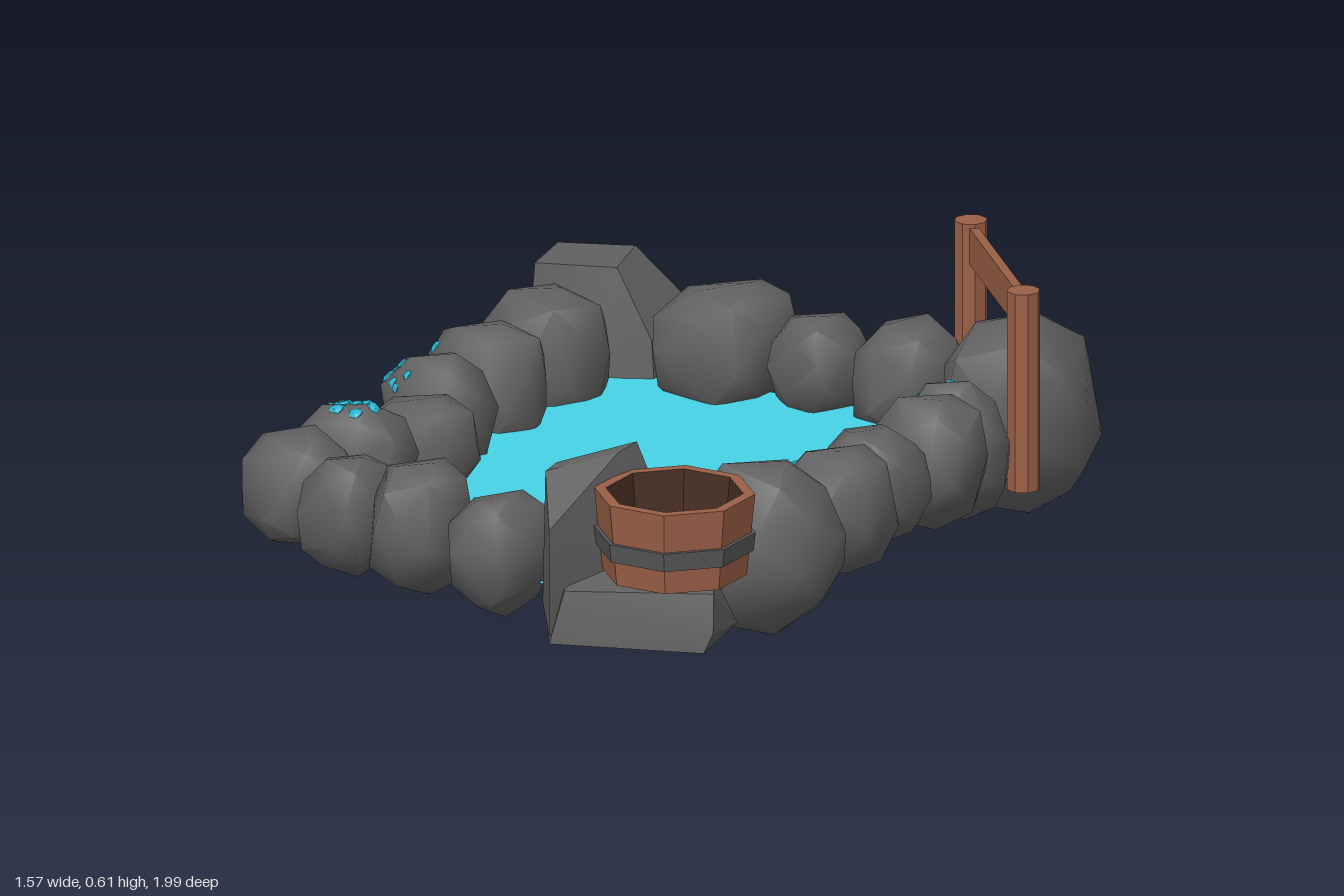
import * as THREE from 'three';
import { toCreasedNormals } from 'three/addons/utils/BufferGeometryUtils.js';
import { ConvexGeometry } from 'three/addons/geometries/ConvexGeometry.js';

const paint = (name, color, opts = {}) => {
  const m = new THREE.MeshStandardMaterial({ color, ...opts });
  m.name = name;
  return m;
};

// Small seeded generator
let seed = 11;
const rand = () => {
  seed = (seed * 16807) % 2147483647;
  return seed / 2147483647;
};
const jitter = (a) => (rand() - 0.5) * 2 * a;

// Rounded boulder filling the given bounds
function boulderGeometry([x0, x1], [y0, y1], [z0, z1]) {
  const pts = [], n = 30;
  const puff = (v) => Math.sign(v) * Math.pow(Math.abs(v), 0.85);
  for (let i = 0; i < n; i++) {
    const y = 1 - (2 * (i + 0.5)) / n, r = Math.sqrt(1 - y * y), t = i * 2.39996 + jitter(0.25);
    const k = 1 + jitter(0.07);
    pts.push(new THREE.Vector3(puff(r * Math.cos(t)) * k, puff(y) * k, puff(r * Math.sin(t)) * k));
  }
  const box = new THREE.Box3().setFromPoints(pts);
  const size = box.getSize(new THREE.Vector3());
  for (const p of pts) {
    p.sub(box.min).divide(size);
    p.set(x0 + p.x * (x1 - x0), y0 + p.y * (y1 - y0), z0 + p.z * (z1 - z0));
  }
  return toCreasedNormals(new ConvexGeometry(pts), 0.95);
}

const slabGeometry = (points) =>
  toCreasedNormals(new ConvexGeometry(points.map((p) => new THREE.Vector3(...p))), 0.45);

export function createModel() {
  const model = new THREE.Group();
  model.name = 'rockPool';
  const stone = paint('stone', 0x616161);
  const water = paint('water', 0x45d3e6, { side: THREE.DoubleSide });
  const droplet = paint('droplet', 0x2ab4d0);
  const wood = paint('wood', 0x9a5f46, { flatShading: true });
  const darkWood = paint('darkWood', 0x452d22, { flatShading: true });
  const iron = paint('iron', 0x565656, { flatShading: true });

  const add = (name, geo, mat, parent = model) => {
    const mesh = new THREE.Mesh(geo, mat);
    mesh.name = name;
    parent.add(mesh);
    return mesh;
  };

  // Ring of boulders: x, y and z bounds
  const boulders = {
    backBoulder1: [[-0.36, -0.05], [0.12, 0.43], [-0.91, -0.58]],
    backBoulder2: [[-0.06, 0.16], [0.13, 0.39], [-0.88, -0.64]],
    backBoulder3: [[0.14, 0.41], [0.12, 0.4], [-0.91, -0.64]],
    cornerBoulder: [[0.38, 0.77], [0, 0.49], [-0.96, -0.57]],
    leftBoulder1: [[0.45, 0.71], [0.06, 0.4], [-0.58, -0.37]],
    leftBoulder2: [[0.49, 0.76], [0.1, 0.42], [-0.4, -0.15]],
    leftBoulder3: [[0.46, 0.73], [0.12, 0.4], [-0.18, 0.05]],
    leftBoulder4: [[0.5, 0.76], [0.12, 0.42], [0.03, 0.31]],
    leftBoulder5: [[0.41, 0.78], [0.05, 0.47], [0.29, 0.61]],
    frontBoulder1: [[-0.03, 0.2], [0.1, 0.39], [0.65, 0.91]],
    frontBoulder2: [[-0.25, -0.02], [0.12, 0.44], [0.65, 0.93]],
    frontBoulder3: [[-0.44, -0.22], [0.13, 0.42], [0.65, 0.91]],
    frontBoulder4: [[-0.65, -0.38], [0.15, 0.42], [0.56, 0.84]],
    rightBoulder1: [[-0.65, -0.36], [0.15, 0.43], [0.34, 0.58]],
    rightBoulder2: [[-0.61, -0.33], [0.12, 0.38], [0.09, 0.34]],
    rightBoulder3: [[-0.68, -0.42], [0.1, 0.41], [-0.13, 0.12]],
    rightBoulder4: [[-0.73, -0.42], [0.09, 0.41], [-0.37, -0.13]],
    rightBoulder5: [[-0.71, -0.4], [0.06, 0.43], [-0.65, -0.36]],
  };
  const rocks = {};
  for (const [name, bounds] of Object.entries(boulders))
    rocks[name] = add(name, boulderGeometry(...bounds), stone);

  // Angular corner slabs
  add('backSlab', slabGeometry([
    [-0.79, 0.1, -0.89], [-0.39, 0.16, -0.96], [-0.36, 0.12, -0.69], [-0.5, 0.09, -0.62],
    [-0.69, 0.1, -0.65], [-0.7, 0.42, -0.82], [-0.53, 0.42, -0.89], [-0.47, 0.43, -0.7],
    [-0.67, 0.42, -0.66], [-0.4, 0.28, -0.94], [-0.37, 0.27, -0.69], [-0.77, 0.22, -0.88],
  ]), stone);
  add('frontSlabBase', slabGeometry([
    [0.125, 0.19, 0.62], [0.2, 0.13, 0.78], [0.33, 0.12, 0.99], [0.68, 0.12, 0.87], [0.46, 0.13, 0.55],
    [0.66, 0.14, 0.68], [0.36, 0.25, 0.97], [0.69, 0.26, 0.84], [0.46, 0.27, 0.57], [0.6, 0.27, 0.7],
    [0.3, 0.27, 0.7], [0.7, 0.17, 0.86],
  ]), stone);
  add('frontSlabWall', slabGeometry([
    [0.125, 0.2, 0.62], [0.19, 0.14, 0.78], [0.33, 0.14, 0.99], [0.33, 0.4, 0.99], [0.19, 0.35, 0.77],
    [0.25, 0.5, 0.87], [0.24, 0.5, 0.8], [0.37, 0.53, 0.65], [0.36, 0.52, 0.72], [0.45, 0.22, 0.56], [0.35, 0.2, 0.95],
  ]), stone);

  // Water sheet tucked under the rocks
  const pool = new THREE.Shape([
    [-0.5, 0.68], [0.16, 0.76], [0.3, 0.7], [0.56, 0.5], [0.6, 0.15], [0.58, -0.3], [0.56, -0.6],
    [0.28, -0.76], [-0.2, -0.74], [-0.48, -0.72], [-0.53, -0.5], [-0.55, -0.2], [-0.53, 0.05], [-0.48, 0.22],
  ].map(([x, z]) => new THREE.Vector2(x, -z)));
  add('waterSurface', new THREE.ShapeGeometry(pool).rotateX(-Math.PI / 2).translate(0, 0.175, 0), water);

  // Splash droplets scattered over some boulders: rock, outward direction, count
  const splashes = new THREE.Group();
  splashes.name = 'splashes';
  model.add(splashes);
  const ray = new THREE.Raycaster();
  for (const [name, dir, count] of [
    ['rightBoulder1', [-0.1, 1, 0.15], 13], ['rightBoulder3', [-0.75, 0.7, 0.35], 8],
    ['rightBoulder4', [-0.85, 0.6, 0.1], 6], ['cornerBoulder', [-0.75, 0.1, 0.75], 9],
    ['leftBoulder1', [-0.5, 0.75, -0.5], 4], ['leftBoulder4', [-0.85, 0.4, 0.15], 10],
  ]) {
    const rock = rocks[name];
    rock.geometry.computeBoundingBox();
    const centre = rock.geometry.boundingBox.getCenter(new THREE.Vector3());
    for (let i = 0; i < count; i++) {
      const out = new THREE.Vector3(...dir).add(new THREE.Vector3(jitter(0.45), jitter(0.3), jitter(0.4))).normalize();
      ray.set(centre.clone().add(out), out.clone().negate());
      const hit = ray.intersectObject(rock)[0];
      if (!hit) continue;
      const drop = add('splashDrop', new THREE.IcosahedronGeometry(0.01 + rand() * 0.011, 0), droplet, splashes);
      drop.position.copy(hit.point);
      drop.quaternion.setFromUnitVectors(new THREE.Vector3(0, 0, 1), hit.face.normal);
      drop.scale.z = 0.45;
    }
  }

  // Eight-sided bucket with an iron hoop
  const bucket = new THREE.Group();
  bucket.name = 'bucket';
  bucket.position.set(0.54, 0, 0.765);
  model.add(bucket);
  const ring = (pts) => new THREE.LatheGeometry(pts.map(([r, y]) => new THREE.Vector2(r, y)), 8, Math.PI / 8);
  add('bucketStaves', ring([[0, 0.27], [0.171, 0.27], [0.191, 0.47], [0.163, 0.47]]), wood, bucket);
  add('bucketInside', ring([[0.163, 0.47], [0.142, 0.3], [0, 0.3]]), darkWood, bucket);
  add('bucketHoop', ring([[0.17, 0.33], [0.187, 0.33], [0.192, 0.375], [0.17, 0.375]]), iron, bucket);

  // Two posts joined by a plank
  const rack = new THREE.Group();
  rack.name = 'rack';
  model.add(rack);
  const ends = [[0.34, -0.96], [0.71, -0.57]];
  for (const [x, z] of ends)
    add('rackPost', new THREE.CylinderGeometry(0.04, 0.04, 0.49, 8).translate(x, 0.365, z), wood, rack);
  const [[ax, az], [bx, bz]] = ends;
  const plank = add('rackPlank', new THREE.BoxGeometry(Math.hypot(bx - ax, bz - az), 0.09, 0.022), wood, rack);
  plank.position.set((ax + bx) / 2, 0.555, (az + bz) / 2);
  plank.rotation.y = -Math.atan2(bz - az, bx - ax);

  return model;
}
